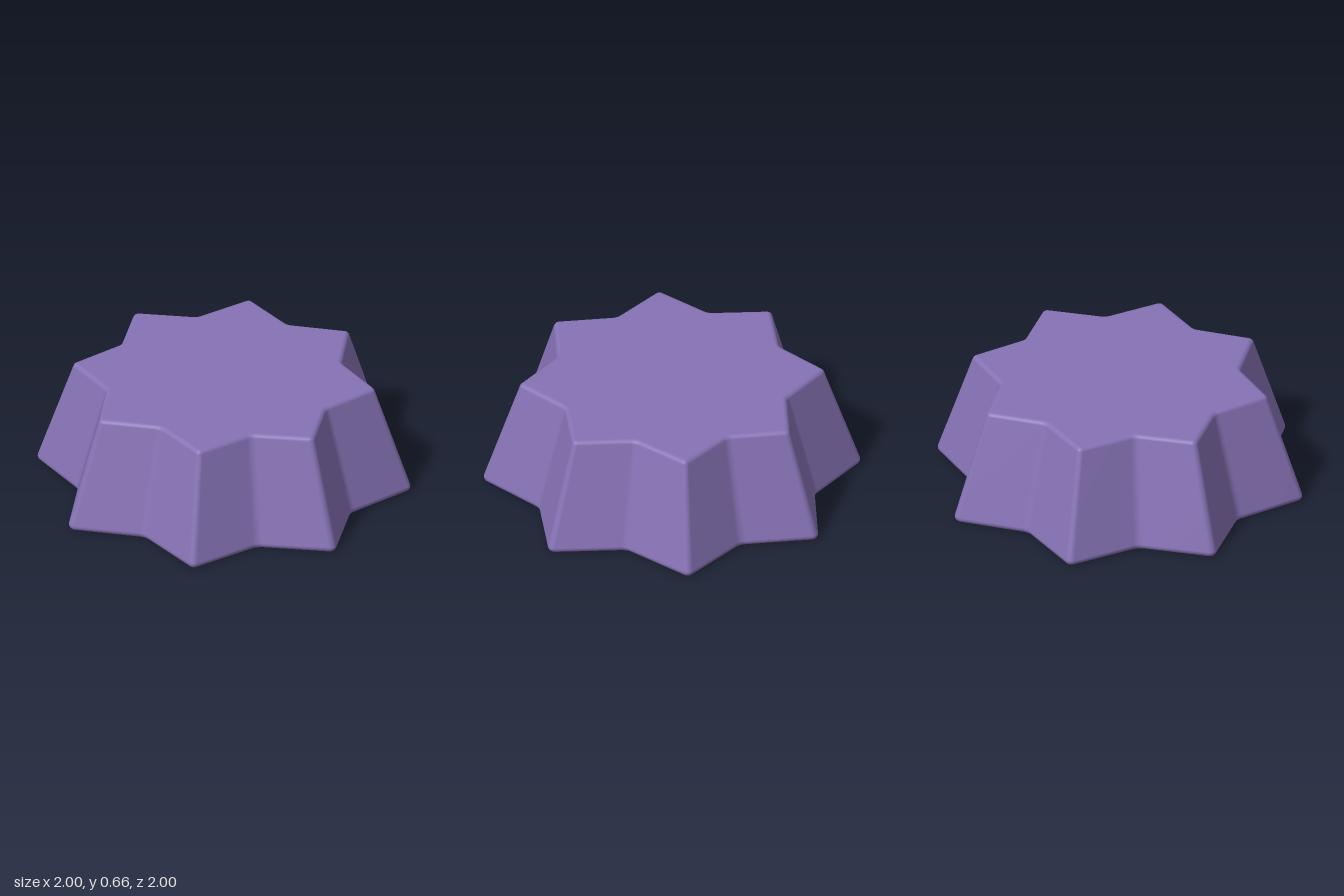
import * as THREE from 'three';

const POINTS = 8, HEIGHT = 0.66, TAPER = 0.81;
const TIP = 1.093, VALLEY = 0.855;          // sharp corner radii of the base star
const TIP_ROUND = 0.04, VALLEY_ROUND = 0.08; // fillets of the upright corners
const BEVEL = 0.03, TILT = 0.26;             // rounded rims, slope of the walls
const ARC = 6;

// One star outline with rounded corners, scaled and then inset by a distance
function starRing(y, scale, inset) {
  const half = Math.PI / POINTS;
  const tipTurn = Math.PI / 2 - Math.atan2(VALLEY * Math.sin(half), TIP - VALLEY * Math.cos(half));
  const valleyTurn = tipTurn - half;
  const tipCentre = scale * (TIP - TIP_ROUND / Math.cos(tipTurn));
  const valleyCentre = scale * (VALLEY + VALLEY_ROUND / Math.cos(valleyTurn));
  const ring = [];
  const arc = (angle, centre, radius, turn) => {
    for (let i = 0; i <= ARC; i++) {
      const n = angle + turn * (2 * i / ARC - 1);
      ring.push([
        centre * Math.sin(angle) + radius * Math.sin(n), y,
        centre * Math.cos(angle) + radius * Math.cos(n)]);
    }
  };
  for (let k = 0; k < POINTS; k++) {
    const angle = half * (2 * k + 1);
    arc(angle, tipCentre, scale * TIP_ROUND - inset, tipTurn);
    arc(angle + half, valleyCentre, -(scale * VALLEY_ROUND + inset), -valleyTurn);
  }
  return ring;
}

function starBlockGeometry() {
  // Rounded bottom rim, sloping wall, rounded top rim
  const rings = [];
  const rim = (from, to, centreY, scale) => {
    for (let i = 0; i <= ARC; i++) {
      const a = from + (to - from) * i / ARC;
      rings.push(starRing(centreY + BEVEL * Math.sin(a), scale, BEVEL * (1 - Math.cos(a))));
    }
  };
  rim(-Math.PI / 2, TILT, BEVEL, 1);
  rim(TILT, Math.PI / 2, HEIGHT - BEVEL, TAPER);

  const count = rings[0].length, last = (rings.length - 1) * count;
  const bottom = rings.length * count, top = bottom + 1;
  const positions = [...rings.flat(2), 0, 0, 0, 0, HEIGHT, 0];
  const index = [];
  for (let j = 0; j < count; j++) {
    const next = (j + 1) % count;
    for (let r = 0; r < last; r += count) {
      const a = r + j, b = r + next, c = a + count, d = b + count;
      index.push(a, b, d, a, d, c);
    }
    index.push(bottom, next, j, top, last + j, last + next); // flat caps
  }
  const geometry = new THREE.BufferGeometry();
  geometry.setAttribute('position', new THREE.Float32BufferAttribute(positions, 3));
  geometry.setIndex(index);
  geometry.computeVertexNormals();
  return geometry;
}

export function createModel() {
  const group = new THREE.Group();
  const block = new THREE.Mesh(starBlockGeometry(), new THREE.MeshStandardMaterial({ color: 0x8672b5 }));
  block.name = 'starBlock';
  group.add(block);
  return group;
}
